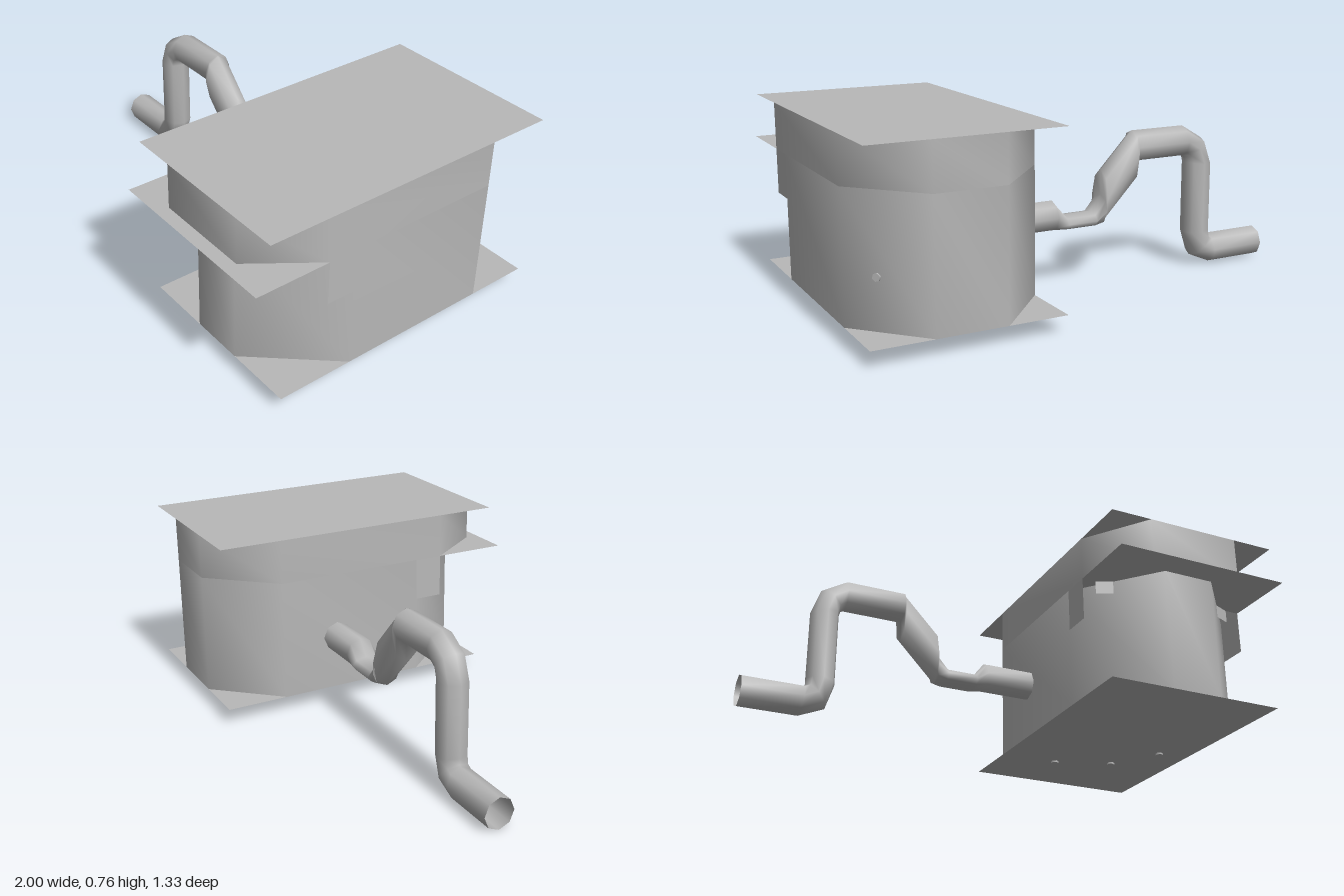
import * as THREE from 'three';

const grey = new THREE.MeshStandardMaterial({ color: 0xb8b8b8, side: THREE.DoubleSide });
grey.name = 'plain grey';

const CX = 0.62; // middle of the housing
const HALF = 0.38; // half its width

// Skin joining a list of rings with equal point counts, smooth shaded
function loft(name, rings) {
  const n = rings[0].length;
  const index = [];
  for (let r = 0; r < rings.length - 1; r++) {
    for (let i = 0; i < n; i++) {
      const a = r * n + i, b = r * n + (i + 1) % n;
      index.push(a, b, a + n, b, b + n, a + n);
    }
  }
  const geo = new THREE.BufferGeometry();
  geo.setAttribute('position', new THREE.Float32BufferAttribute(rings.flat(2), 3));
  geo.setIndex(index);
  geo.computeVertexNormals();
  const mesh = new THREE.Mesh(geo, grey);
  mesh.name = name;
  return mesh;
}

// Upright wall around a mirrored outline of [half width, z] points, back to front
function wall(name, half, y0, y1) {
  const loop = [
    ...half.map(([x, z]) => [CX - x, z]),
    ...half.slice().reverse().map(([x, z]) => [CX + x, z]),
  ];
  const ring = (y) => loop.map(([x, z]) => [x, y, z]);
  return loft(name, [ring(y0), ring(y1)]);
}

// Thin level sheet across the housing
function sheet(name, y, z0, z1) {
  const geo = new THREE.PlaneGeometry(HALF * 2, z1 - z0).rotateX(-Math.PI / 2);
  const mesh = new THREE.Mesh(geo, grey);
  mesh.name = name;
  mesh.position.set(CX, y, (z0 + z1) / 2);
  return mesh;
}

// Upright flat strip between two plan points
function strip(name, [xa, za], [xb, zb], y0, y1) {
  const geo = new THREE.PlaneGeometry(Math.hypot(xb - xa, zb - za), y1 - y0);
  const mesh = new THREE.Mesh(geo, grey);
  mesh.name = name;
  mesh.position.set((xa + xb) / 2, (y0 + y1) / 2, (za + zb) / 2);
  mesh.rotation.y = Math.atan2(za - zb, xb - xa);
  return mesh;
}

export function createModel() {
  const model = new THREE.Group();
  model.name = 'housing with bent pipe';

  // Housing walls: the upper one overhangs at the front
  const back = [[0.14, -0.67], [HALF, -0.41]];
  model.add(wall('lowerWall', [...back, [HALF, 0.23], [0.11, 0.545]], 0.07, 0.58));
  model.add(wall('upperWall', [...back, [HALF, 0.35], [0.2, 0.605]], 0.58, 0.765));

  // Square-cornered sheets
  model.add(sheet('bottomSheet', 0.07, -0.67, 0.545));
  model.add(sheet('middleSheet', 0.58, 0.35, 0.66));
  model.add(sheet('topSheet', 0.765, -0.67, 0.605));

  // Side panels beside the front recess, with short tabs under the overhang
  for (const s of [-1, 1]) {
    const x = CX + s * HALF;
    model.add(strip('sidePanel', [x, 0.23], [x, 0.35], 0.4, 0.58));
    model.add(strip('recessTab', [CX + s * 0.32, 0.35], [CX + s * 0.2, 0.4], 0.525, 0.58));
  }

  // Bent pipe: lower and upper edge of each section [x, y, x, y]
  const sections = [
    [-1, 0, -1, 0.13],
    [-0.76, 0, -0.745, 0.13],
    [-0.655, 0.045, -0.74, 0.135],
    [-0.62, 0.15, -0.74, 0.16],
    [-0.62, 0.46, -0.74, 0.45],
    [-0.615, 0.48, -0.7, 0.56],
    [-0.6, 0.49, -0.6, 0.62],
    [-0.35, 0.49, -0.35, 0.62],
    [-0.35, 0.4, -0.345, 0.62],
    [-0.195, 0.24, -0.2, 0.47],
    [-0.19, 0.24, -0.2, 0.365],
    [-0.15, 0.24, -0.15, 0.3],
    [-0.02, 0.24, -0.02, 0.3],
    [0.03, 0.24, 0.03, 0.365],
    [0.26, 0.24, 0.26, 0.365],
  ];
  const SIDES = 8;
  model.add(loft('pipe', sections.map(([lx, ly, ux, uy]) =>
    Array.from({ length: SIDES }, (_, i) => {
      const a = (i / SIDES) * Math.PI * 2;
      const t = (1 + Math.cos(a)) / 2;
      return [lx + (ux - lx) * t, ly + (uy - ly) * t, -0.163 + 0.063 * Math.sin(a)];
    }))));

  // Small studs below the bottom sheet and one on the back corner
  const studGeo = new THREE.CylinderGeometry(0.016, 0.016, 0.012, 6);
  for (const [x, z] of [[0.86, -0.11], [0.73, -0.31], [0.49, -0.395]]) {
    const stud = new THREE.Mesh(studGeo, grey);
    stud.name = 'bottomStud';
    stud.position.set(x, 0.068, z);
    model.add(stud);
  }
  const sideStud = new THREE.Mesh(studGeo, grey);
  sideStud.name = 'cornerStud';
  sideStud.position.set(0.91, 0.27, -0.51);
  sideStud.quaternion.setFromUnitVectors(
    new THREE.Vector3(0, 1, 0), new THREE.Vector3(0.26, 0, -0.24).normalize());
  model.add(sideStud);

  return model;
}
